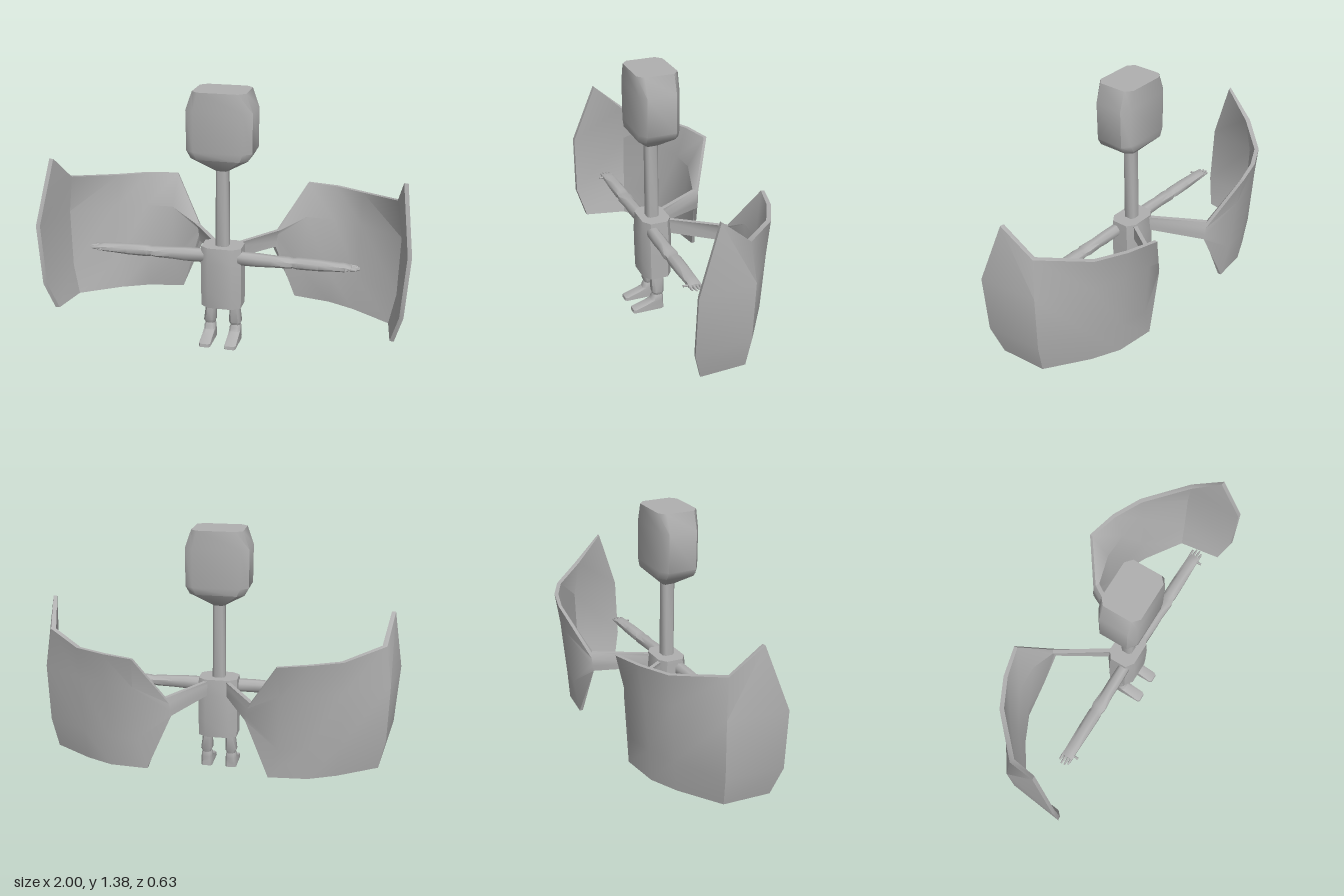
import * as THREE from 'three';
import { toCreasedNormals } from 'three/addons/utils/BufferGeometryUtils.js';

const grey = new THREE.MeshStandardMaterial({ color: 0xb0b0b0 });
grey.name = 'plain grey';

// Closed skin through rings of [x, y, z]; s = -1 mirrors it to the other side.
function loft(name, rings, s = 1, crease = 0.9) {
  const n = rings[0].length, last = (rings.length - 1) * n;
  const p = rings.flat().map(([x, y, z]) => new THREE.Vector3(s * x, y, z));
  const tris = [];
  const quad = (a, b, c, d) => tris.push([a, b, c], [a, c, d]);
  for (let r = 0; r < last; r += n) {
    for (let i = 0; i < n; i++) {
      const j = (i + 1) % n;
      quad(r + i, r + j, r + n + j, r + n + i);
    }
  }
  for (let i = 0; i < n / 2 - 1; i++) {
    quad(i + 1, i, n - 1 - i, n - 2 - i);
    quad(last + i, last + i + 1, last + n - 2 - i, last + n - 1 - i);
  }
  // Turn the faces outward whichever way the rings run
  const mid = p.reduce((m, v) => m.add(v), new THREE.Vector3()).divideScalar(p.length);
  let volume = 0;
  for (const [a, b, c] of tris) {
    const [u, v, w] = [a, b, c].map(k => p[k].clone().sub(mid));
    volume += u.dot(v.cross(w));
  }
  const index = tris.flatMap(([a, b, c]) => (volume < 0 ? [a, c, b] : [a, b, c]));
  const g = new THREE.BufferGeometry().setFromPoints(p);
  g.setIndex(index);
  const mesh = new THREE.Mesh(toCreasedNormals(g, crease), grey);
  mesh.name = name;
  return mesh;
}

// Eight-sided outline with half sizes a and b
const octagon = (a, b, k = 0.6, m = 0.6) => [
  [a, -b * k], [a, b * k], [a * m, b], [-a * m, b],
  [-a, b * k], [-a, -b * k], [-a * m, -b], [a * m, -b],
];
// Level ring (around y) and upright ring (around x)
const level = (y, w, d, x = 0, z = 0.165, k, m) =>
  octagon(w, d, k, m).map(([a, b]) => [x + a, y, z + b]);
const upright = (x, h, d, y = 0.482, z = 0.198) =>
  octagon(h, d, 0.45, 0.45).map(([a, b]) => [x, y + a, z + b]);

// Wing: outer points from lower to upper edge, followed by the inner points back down
const wingColumns = [
  [[[0.05, 0.45, 0.09], [0.05, 0.47, 0.09], [0.05, 0.51, 0.09], [0.05, 0.53, 0.09]], 0.02, 0.01, 0],
  [[[0.20, 0.42, -0.185], [0.205, 0.45, -0.19], [0.21, 0.49, -0.19], [0.225, 0.52, -0.185]], 0.02, 0.012, 0],
  [[[0.33, 0.12, -0.222], [0.38, 0.29, -0.235], [0.39, 0.60, -0.27], [0.38, 0.77, -0.315]], -0.003, 0.018, 0.05],
  [[[0.54, 0.115, -0.195], [0.54, 0.29, -0.21], [0.55, 0.60, -0.24], [0.55, 0.775, -0.27]], -0.01, 0.02, 0.025],
  [[[0.69, 0.115, -0.125], [0.70, 0.29, -0.15], [0.71, 0.60, -0.17], [0.71, 0.775, -0.19]], -0.016, 0.018, 0],
  [[[0.905, 0.115, 0.02], [0.94, 0.28, 0.005], [0.95, 0.60, -0.005], [0.92, 0.81, 0.015]], -0.025, 0.012, 0],
  [[[0.93, 0.125, 0.27], [0.975, 0.28, 0.315], [1.0, 0.61, 0.31], [0.955, 0.955, 0.185]], -0.022, -0.003, 0],
];
const wingRings = wingColumns.map(([outer, dx, dz, belly]) => [
  ...outer,
  ...outer.map(([x, y, z], i) => [x + dx, y, z + dz + (i === 1 || i === 2 ? belly : 0)]).reverse(),
]);

// Arm sections: x, half height, half depth
const armSections = [
  [0.09, 0.034, 0.030], [0.20, 0.034, 0.032], [0.27, 0.030, 0.031], [0.36, 0.027, 0.038],
  [0.385, 0.023, 0.032], [0.41, 0.028, 0.035], [0.52, 0.027, 0.034], [0.62, 0.021, 0.032],
  [0.655, 0.021, 0.031], [0.69, 0.011, 0.033],
];

function buildSide(s) {
  const side = new THREE.Group();
  side.name = s > 0 ? 'leftSide' : 'rightSide';
  side.add(loft('wing', wingRings, s, 0.75));

  // Arm, four fingers and a thumb
  side.add(loft('arm', armSections.map(([x, h, d]) => upright(x, h, d)), s));
  [0.172, 0.189, 0.207, 0.224].forEach((z, i) => {
    const tip = i === 0 || i === 3 ? 0.72 : 0.732;
    side.add(loft('finger', [
      upright(0.675, 0.009, 0.007, 0.482, z),
      upright(0.71, 0.007, 0.006, 0.482, z),
      upright(tip, 0.003, 0.004, 0.482, z),
    ], s));
  });
  const thumb = new THREE.Mesh(new THREE.CylinderGeometry(0.006, 0.008, 0.05, 6), grey);
  thumb.name = 'thumb';
  thumb.rotation.x = Math.PI / 2;
  thumb.position.set(s * 0.665, 0.48, 0.228);
  side.add(thumb);

  // Leg narrowing to the ankle
  side.add(loft('leg', [
    level(0.23, 0.025, 0.034, 0.065, 0.168),
    level(0.18, 0.026, 0.034, 0.066, 0.168),
    level(0.105, 0.032, 0.032, 0.070, 0.168),
    level(0.092, 0.025, 0.027, 0.070, 0.167),
    level(0.06, 0.021, 0.024, 0.070, 0.166),
  ], s));

  // Boot, from a cuff to a long low toe
  side.add(loft('boot', [
    level(0.09, 0.023, 0.026, 0.070, 0.168),
    level(0.075, 0.029, 0.031, 0.070, 0.170),
    level(0.056, 0.030, 0.034, 0.070, 0.173),
    level(0.038, 0.030, 0.055, 0.070, 0.194, 0.8),
    level(0.018, 0.031, 0.087, 0.070, 0.227, 0.85, 0.75),
    level(0, 0.031, 0.088, 0.070, 0.228, 0.85, 0.75),
  ], s));
  return side;
}

export function createModel() {
  const model = new THREE.Group();
  model.name = 'wingedFigure';

  // Head: y, half width, half depth
  const headSections = [
    [0.955, 0.03, 0.033], [1.03, 0.15, 0.11], [1.07, 0.173, 0.11],
    [1.28, 0.175, 0.11], [1.38, 0.14, 0.11],
  ];
  model.add(loft('head', headSections.map(([y, w, d]) => level(y, w, d, 0, 0.167, 0.72, 0.75))));

  model.add(loft('neck', [
    level(0.52, 0.035, 0.033, 0, 0.168), level(0.97, 0.032, 0.033, 0, 0.168),
  ]));

  model.add(loft('torso', [
    level(0.20, 0.108, 0.08), level(0.30, 0.11, 0.083),
    level(0.45, 0.11, 0.085), level(0.54, 0.108, 0.078),
  ]));

  model.add(buildSide(1), buildSide(-1));
  return model;
}
